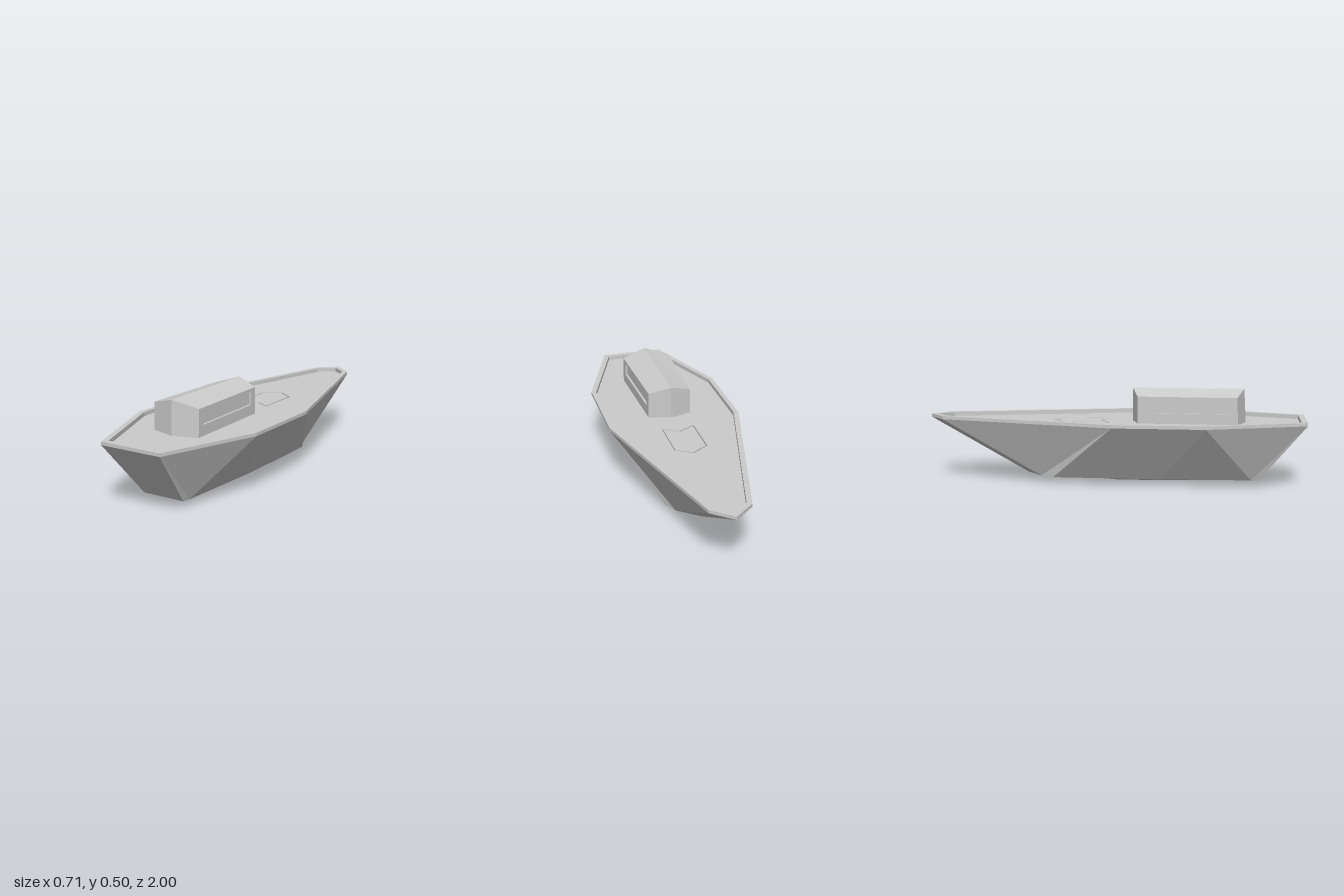
import * as THREE from 'three';

const material = new THREE.MeshStandardMaterial({ color: 0xcccccc, flatShading: true, side: THREE.DoubleSide });

// Builds a mesh from quads [a, b, c, d] of the +x half, mirrored to -x.
function mirroredMesh(name, quads) {
  const pos = [];
  const a = new THREE.Vector3(), b = new THREE.Vector3();
  const tri = (p, q, r) => {
    a.set(...q).sub(new THREE.Vector3(...p));
    b.set(...r).sub(new THREE.Vector3(...p));
    if (a.cross(b).length() < 1e-8) return;
    pos.push(...p, ...q, ...r);
    for (const v of [p, r, q]) pos.push(-v[0], v[1], v[2]);
  };
  for (const [p, q, r, s] of quads) {
    tri(p, q, r);
    tri(p, r, s);
  }
  const geo = new THREE.BufferGeometry();
  geo.setAttribute('position', new THREE.Float32BufferAttribute(pos, 3));
  geo.computeVertexNormals();
  const mesh = new THREE.Mesh(geo, material);
  mesh.name = name;
  return mesh;
}

// Quads between two rows of points.
const strip = (u, l) => u.slice(1).map((_, i) => [u[i], l[i], l[i + 1], u[i + 1]]);
const atHeight = (row, y) => row.map(([x, z]) => [x, y, z]);

// Closed symmetric outline from half points running stern to bow tip.
function outline(half, Type) {
  const other = half.filter(([x]) => x > 0).reverse().map(([x, z]) => [-x, z]);
  return new Type([...half, ...other].map(([x, z]) => new THREE.Vector2(x, -z)));
}

function flatMesh(name, shape, y) {
  const geo = new THREE.ShapeGeometry(shape);
  geo.rotateX(-Math.PI / 2).translate(0, y, 0);
  const mesh = new THREE.Mesh(geo, material);
  mesh.name = name;
  return mesh;
}

const DECK = 0.32, RIM = 0.342, CHINE = 0.033;

function createHull() {
  // Matching stations (x, z) on the rim and on the bottom edge
  const rim = [[0, 1], [0.17, 1], [0.355, 0.49], [0.355, 0.255], [0.355, 0.02], [0.355, 0.02], [0.105, -0.91], [0, -1]];
  const inner = [[0, 0.97], [0.15, 0.97], [0.33, 0.48], [0.33, 0.255], [0.33, 0.03], [0.33, 0.03], [0.082, -0.893], [0, -0.962]];
  const chine = [[0, 0.76], [0.117, 0.76], [0.125, 0.72], [0.15, 0.25], [0.15, 0], [0.147, -0.31], [0.11, -0.38], [0, -0.47]];
  const keelY = [0.033, 0.033, 0.03, 0, 0, 0.022, 0.027, 0.033];
  const rows = [
    atHeight(inner, DECK),
    atHeight(inner, RIM),
    atHeight(rim, RIM),
    atHeight(rim, 0.325),
    atHeight(chine, CHINE),
    chine.map(([x, z]) => [Math.min(x, 0.117), CHINE, z]),
    chine.map(([, z], i) => [0, keelY[i], z]),
  ];
  const quads = rows.slice(1).flatMap((row, i) => strip(rows[i], row));
  return { hull: mirroredMesh('hull', quads), inner: inner.filter((_, i) => i !== 5) };
}

// Deck with a chevron hatch outlined by a narrow groove
function createDeck(inner) {
  const group = new THREE.Group();
  group.name = 'deck';
  const outer = [[0, -0.07], [0.09, -0.02], [0.09, -0.27], [0, -0.33]];
  const panel = [[0, -0.08], [0.08, -0.035], [0.08, -0.265], [0, -0.318]];
  const deckShape = outline(inner, THREE.Shape);
  deckShape.holes.push(outline(outer, THREE.Path));
  group.add(flatMesh('deckPlate', deckShape, DECK));
  group.add(flatMesh('hatchPanel', outline(panel, THREE.Shape), DECK));
  group.add(flatMesh('hatchGrooveFloor', outline(outer, THREE.Shape), DECK - 0.01));
  const low = DECK - 0.01;
  group.add(mirroredMesh('hatchGrooveWalls', [
    ...strip(atHeight(outer, low), atHeight(outer, DECK)),
    ...strip(atHeight(panel, DECK), atHeight(panel, low)),
  ]));
  return group;
}

function createCabin() {
  const EAVE = 0.46, RIDGE = 0.495;
  const base = [[0, DECK, 0.69], [0.132, DECK, 0.65], [0.116, DECK, 0.13], [0, DECK, 0.097]];
  const top = [[0, RIDGE, 0.68], [0.132, EAVE, 0.643], [0.116, EAVE, 0.13], [0, RIDGE, 0.097]];

  // Point on the side wall: u runs front to back, inset pushes it inward
  const wall = (u, y, inset = 0) => {
    const t = (y - DECK) / (EAVE - DECK);
    const mix = (k) => THREE.MathUtils.lerp(
      THREE.MathUtils.lerp(base[1][k], top[1][k], t),
      THREE.MathUtils.lerp(base[2][k], top[2][k], t), u);
    return [mix(0) - inset, y, mix(2)];
  };
  const loop = (u0, u1, y0, y1, inset) =>
    [[u0, y0], [u1, y0], [u1, y1], [u0, y1], [u0, y0]].map(([u, y]) => wall(u, y, inset));
  const edge = loop(0, 1, DECK, EAVE, 0);
  const frame = loop(0.08, 0.92, 0.375, 0.445, 0);
  const recess = loop(0.08, 0.92, 0.375, 0.445, 0.012);

  const group = new THREE.Group();
  group.name = 'cabin';
  group.add(mirroredMesh('cabinWalls', [
    [top[0], base[0], base[1], top[1]],
    [top[2], base[2], base[3], top[3]],
    ...strip(frame, edge),
  ]));
  group.add(mirroredMesh('sideWindows', [...strip(recess, frame), recess.slice(0, 4)]));
  group.add(mirroredMesh('cabinRoof', [[top[0], top[1], top[2], top[3]]]));
  return group;
}

export function createModel() {
  const model = new THREE.Group();
  model.name = 'boat';
  const { hull, inner } = createHull();
  model.add(hull, createDeck(inner), createCabin());
  return model;
}
